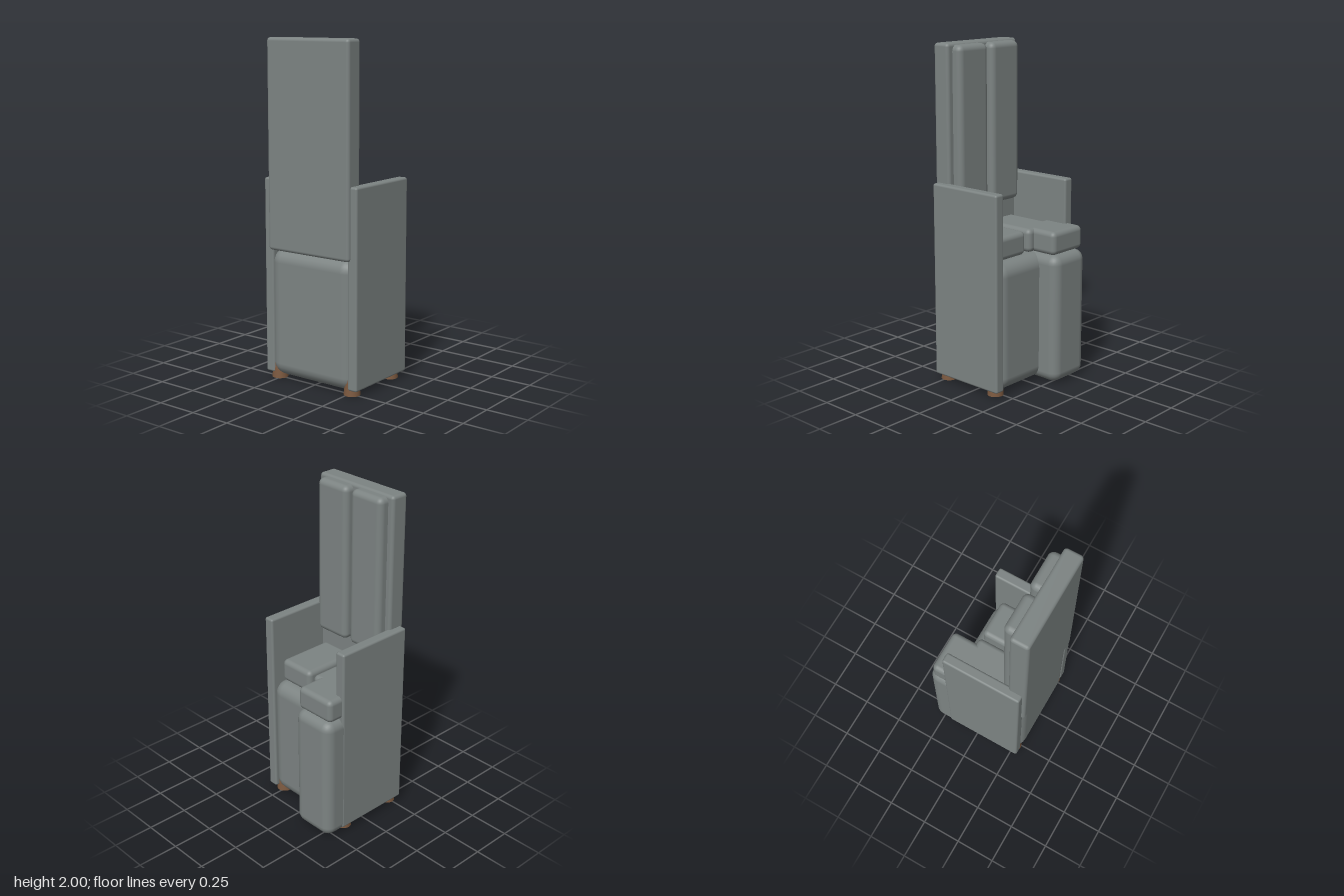
import * as THREE from 'three';
import { RoundedBoxGeometry } from 'three/addons/geometries/RoundedBoxGeometry.js';

export function createModel() {
  const group = new THREE.Group();
  const fabric = new THREE.MeshStandardMaterial({ color: 0x7c8382 });
  fabric.name = 'grey fabric';
  const wood = new THREE.MeshStandardMaterial({ color: 0x7d5a40 });
  wood.name = 'brown wood';

  // Rounded upholstery block given by its extents along each axis
  function block(name, [x0, x1], [y0, y1], [z0, z1], radius) {
    const geometry = new RoundedBoxGeometry(x1 - x0, y1 - y0, z1 - z0, 3, radius);
    const mesh = new THREE.Mesh(geometry, fabric);
    mesh.position.set((x0 + x1) / 2, (y0 + y1) / 2, (z0 + z1) / 2);
    mesh.name = name;
    group.add(mesh);
  }

  // Body and chaise extension (the seat opens towards -z)
  block('base', [-0.3, 0.3], [0.02, 0.785], [-0.193, 0.305], 0.08);
  block('chaiseBase', [-0.33, -0.045], [0.01, 0.79], [-0.318, -0.02], 0.06);

  // Tall back panel
  block('backPanel', [-0.29, 0.29], [0.78, 2], [0.204, 0.317], 0.02);

  // Seat cushions, the chaise one overlapping its neighbour
  block('chaiseCushion', [-0.32, -0.055], [0.79, 0.93], [-0.293, -0.035], 0.03);
  block('rightSeatCushion', [-0.255, -0.013], [0.79, 0.93], [-0.142, 0.22], 0.03);
  block('leftSeatCushion', [0.012, 0.254], [0.79, 0.93], [-0.142, 0.22], 0.03);

  // Back cushions
  block('rightBackCushion', [-0.253, -0.014], [1.04, 1.99], [0.145, 0.25], 0.035);
  block('leftBackCushion', [0.013, 0.252], [1.04, 1.99], [0.145, 0.25], 0.035);

  for (const side of [-1, 1]) {
    // Armrest panels
    const xs = [0.268 * side, 0.332 * side].sort((a, b) => a - b);
    block(side > 0 ? 'leftArm' : 'rightArm', xs, [0.035, 1.2], [-0.2, 0.297], 0.013);

    // Short tapered feet
    for (const z of [0.247, -0.13]) {
      const leg = new THREE.Mesh(new THREE.CylinderGeometry(0.04, 0.048, 0.12, 20), wood);
      leg.position.set(0.266 * side, 0.06, z);
      leg.name = (z > 0 ? 'back' : 'front') + (side > 0 ? 'LeftLeg' : 'RightLeg');
      group.add(leg);
    }
  }
  return group;
}
